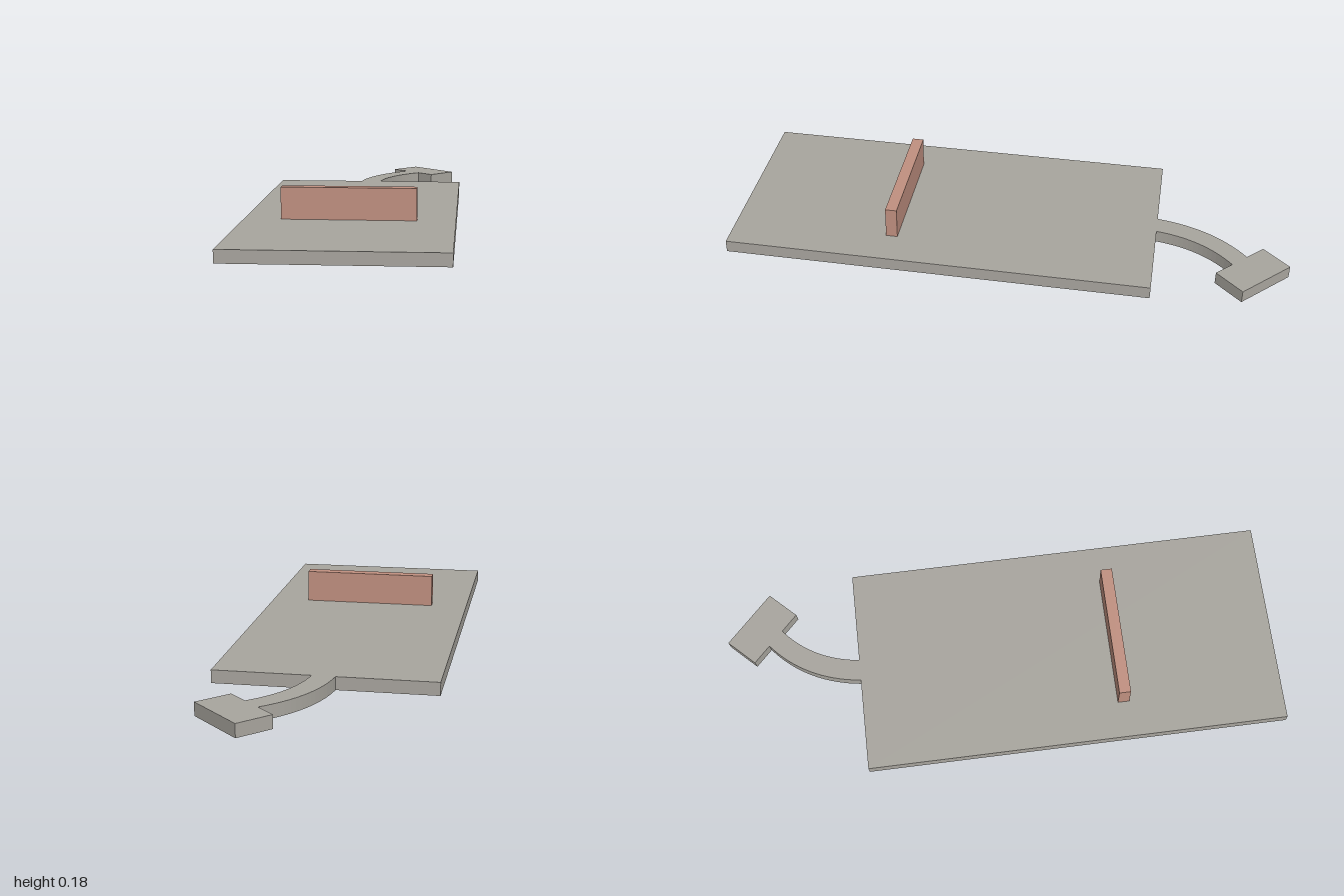
import * as THREE from 'three';

export function createModel() {
  const model = new THREE.Group();
  const grey = new THREE.MeshStandardMaterial({ color: 0xa8a59e });
  grey.name = 'warm grey';
  const clay = new THREE.MeshStandardMaterial({ color: 0xc09080 });
  clay.name = 'clay';

  const thickness = 0.052;
  const turn = -0.699; // plan rotation shared by slab and wall

  // Box standing on a given height, turned in plan
  function block(name, material, size, x, base, z, angle) {
    const mesh = new THREE.Mesh(new THREE.BoxGeometry(...size), material);
    mesh.name = name;
    mesh.position.set(x, base + size[1] / 2, z);
    mesh.rotation.y = angle;
    model.add(mesh);
  }

  block('slab', grey, [1.763, thickness, 0.862], 0.008, 0, 0.099, turn);
  block('wall', clay, [0.048, 0.132, 0.553], 0.166, thickness, 0.235, turn);
  block('pathEnd', grey, [0.271, thickness, 0.15], -0.819, 0, -0.911, 0.106);

  // Curved path joining the slab to its end piece (shape y is -z)
  const outline = new THREE.Shape();
  outline.moveTo(-0.852, 0.833);
  outline.quadraticCurveTo(-0.855, 0.61, -0.694, 0.435);
  outline.lineTo(-0.636, 0.504);
  outline.quadraticCurveTo(-0.77, 0.65, -0.768, 0.842);
  outline.closePath();
  const pathGeometry = new THREE.ExtrudeGeometry(outline, {
    depth: thickness, bevelEnabled: false, curveSegments: 16,
  });
  pathGeometry.rotateX(-Math.PI / 2);
  const path = new THREE.Mesh(pathGeometry, grey);
  path.name = 'curvedPath';
  model.add(path);

  return model;
}
